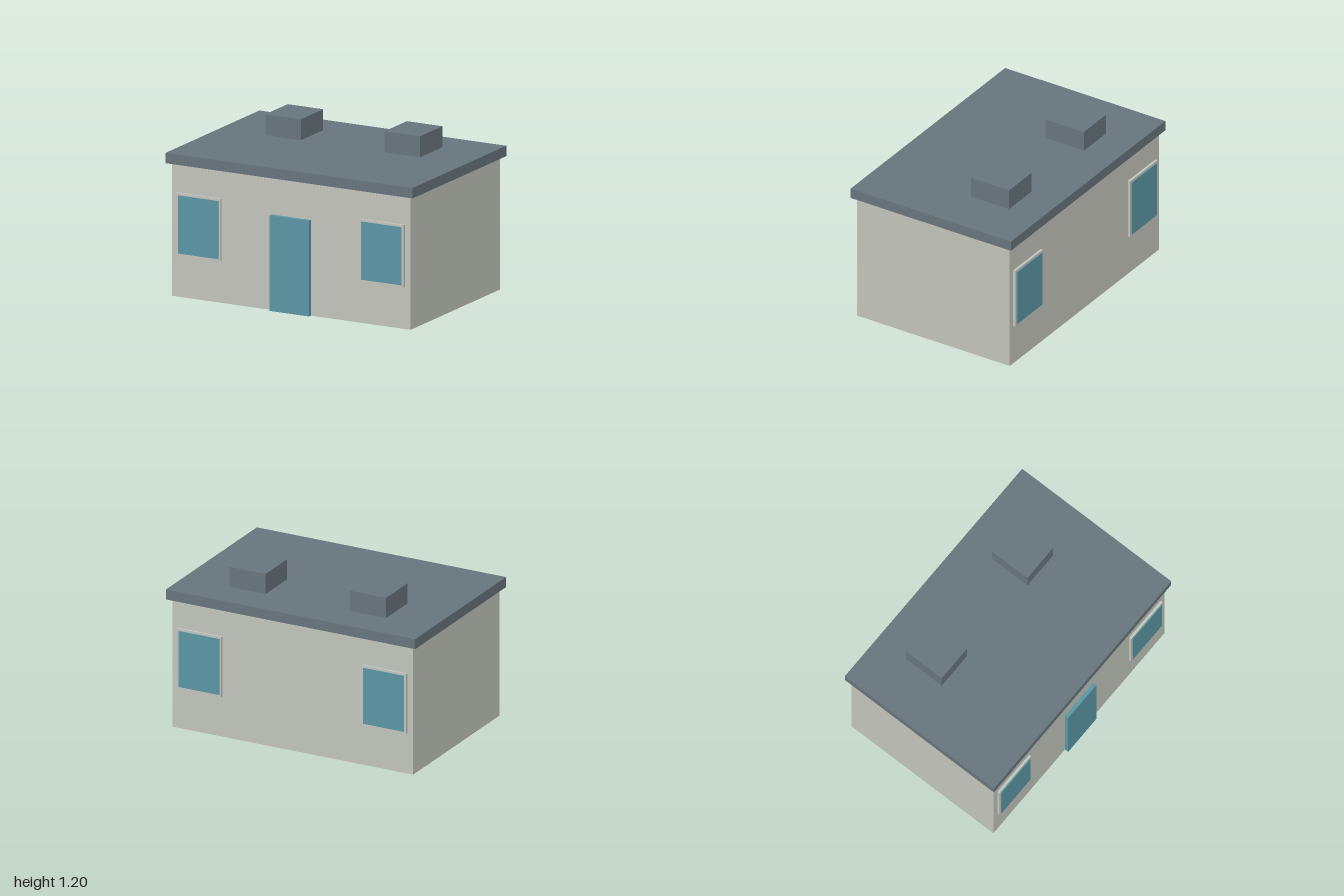
import * as THREE from 'three';

const material = (name, color) => {
  const m = new THREE.MeshStandardMaterial({ color });
  m.name = name;
  return m;
};

export function createModel() {
  const wall = material('wall', 0xc1c4bb);
  const roof = material('roof', 0x68747c);
  const teal = material('teal', 0x5a96a4);

  const house = new THREE.Group();
  house.name = 'house';

  // Box given by its extents on each axis
  const addBox = (parent, name, mat, [x0, x1], [y0, y1], [z0, z1]) => {
    const mesh = new THREE.Mesh(new THREE.BoxGeometry(x1 - x0, y1 - y0, z1 - z0), mat);
    mesh.position.set((x0 + x1) / 2, (y0 + y1) / 2, (z0 + z1) / 2);
    mesh.name = name;
    parent.add(mesh);
  };

  // Main volume, overhanging roof slab and front door
  addBox(house, 'walls', wall, [-0.966, 0.966], [0, 0.971], [-0.643, 0.643]);
  addBox(house, 'roofSlab', roof, [-1, 1], [0.971, 1.047], [-0.675, 0.675]);
  addBox(house, 'door', teal, [-0.159, 0.159], [0, 0.698], [0.643, 0.672]);

  // Framed window, built around its own centre and facing +z
  const addWindow = (name, x, z, turn) => {
    const win = new THREE.Group();
    win.name = name;
    addBox(win, 'windowFrame', wall, [-0.178, 0.178], [-0.228, 0.228], [0, 0.019]);
    addBox(win, 'windowPane', teal, [-0.163, 0.163], [-0.212, 0.212], [0.019, 0.025]);
    win.position.set(x, 0.534, z);
    win.rotation.y = turn;
    house.add(win);
  };

  // Mirrored windows and rooftop blocks
  for (const [side, s] of [['left', 1], ['right', -1]]) {
    addWindow(side + 'FrontWindow', s * 0.742, 0.643, 0);
    addWindow(side + 'BackWindow', s * 0.742, -0.643, Math.PI);
    const c = s * 0.483;
    addBox(house, side + 'RoofBlock', roof, [c - 0.144, c + 0.144], [1.047, 1.2], [-0.418, -0.097]);
  }
  return house;
}
